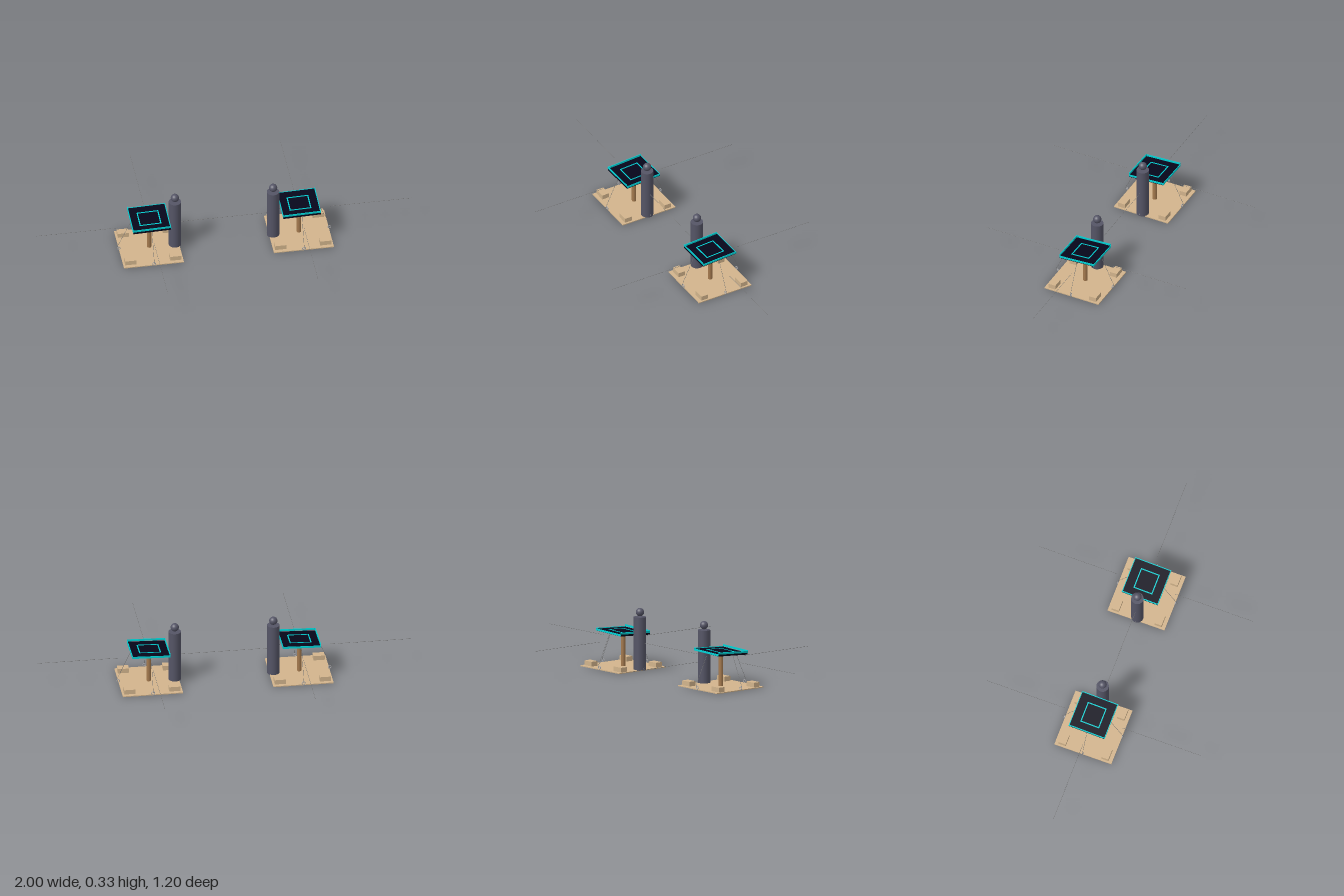
import * as THREE from 'three';

const mat = (name, color) => {
  const m = new THREE.MeshStandardMaterial({ color });
  m.name = name;
  return m;
};

export function createModel() {
  const sand = mat('sand', 0xd2b48c);
  const wood = mat('wood', 0xa67b4f);
  const navy = mat('navy', 0x06061a);
  const cyan = mat('cyan', 0x00ced1);
  const slate = mat('slate', 0x555566);
  const silver = mat('silver', 0xa8a8ac);
  const wire = mat('wire', 0x777777);

  const add = (parent, name, geometry, material, x = 0, y = 0, z = 0) => {
    const mesh = new THREE.Mesh(geometry, material);
    mesh.name = name;
    mesh.position.set(x, y, z);
    parent.add(mesh);
    return mesh;
  };
  const box = (w, h, d) => new THREE.BoxGeometry(w, h, d);

  // Thin round rod between two points
  const rod = (parent, name, a, b, r, material) => {
    const from = new THREE.Vector3(...a), to = new THREE.Vector3(...b);
    const dir = to.clone().sub(from);
    const mesh = add(parent, name, new THREE.CylinderGeometry(r, r, dir.length(), 6), material);
    mesh.position.copy(from).add(to).multiplyScalar(0.5);
    mesh.quaternion.setFromUnitVectors(new THREE.Vector3(0, 1, 0), dir.normalize());
  };

  // Tilted slab with an inlaid square; the rims share its tilt but sit at one height,
  // so they stand proud of the two lower edges
  const tiltX = 0.06, tiltZ = 0.03;
  const makePanel = () => {
    const panel = new THREE.Group();
    panel.name = 'panel';

    const slab = new THREE.Group();
    slab.name = 'slab';
    slab.position.y = 0.188;
    slab.rotation.set(tiltX, 0, tiltZ);
    add(slab, 'panelSlab', box(0.2, 0.01, 0.2), navy);
    add(slab, 'panelBracket', box(0.08, 0.005, 0.08), silver, 0, -0.0075, 0);
    for (const s of [-1, 1]) {
      add(slab, 'inlayAcross', box(0.116, 0.002, 0.006), cyan, 0, 0.0055, s * 0.05);
      add(slab, 'inlayAlong', box(0.006, 0.002, 0.094), cyan, s * 0.055, 0.0055, 0);
    }
    panel.add(slab);

    for (const s of [-1, 1]) {
      const side = add(panel, 'sideRim', box(0.004, 0.01, 0.2), cyan, s * 0.1, 0.195, 0);
      const end = add(panel, 'endRim', box(0.2, 0.01, 0.004), cyan, 0, 0.195, s * 0.1);
      side.rotation.set(tiltX, 0, tiltZ);
      end.rotation.set(tiltX, 0, tiltZ);
    }
    return panel;
  };

  // One station; side is the direction of its standing figure
  const makeStation = (x, side) => {
    const station = new THREE.Group();
    station.name = 'station';
    station.position.x = x;

    add(station, 'basePlate', box(0.32, 0.005, 0.32), sand, 0, 0.0025, 0);
    for (const sx of [-1, 1]) for (const sz of [-1, 1])
      add(station, 'cornerBlock', box(0.06, 0.025, 0.04), sand, sx * 0.12, 0.0175, sz * 0.12);

    add(station, 'post', new THREE.CylinderGeometry(0.012, 0.012, 0.174, 8), wood, 0, 0.092, 0);
    station.add(makePanel());

    // Anchors, guy wires and long lines in the four directions
    for (const [dx, dz] of [[1, 0], [-1, 0], [0, 1], [0, -1]]) {
      add(station, 'anchorRing', new THREE.TorusGeometry(0.008, 0.002, 6, 16), silver, dx * 0.162, 0.014, dz * 0.162);
      rod(station, 'guyWire', [dx * 0.098, 0.178, dz * 0.098], [dx * 0.172, 0.02, dz * 0.172], 0.0009, wire);
      rod(station, 'longLine', [dx * 0.16, 0.15, dz * 0.16], [dx * 0.6, 0.15, dz * 0.6], 0.0008, wire);
    }

    // Standing figure
    const figure = new THREE.Group();
    figure.name = 'figure';
    figure.position.x = side * 0.138;
    add(figure, 'figureBody', new THREE.CylinderGeometry(0.033, 0.033, 0.283, 24), slate, 0, 0.1445, 0);
    add(figure, 'figureHead', new THREE.SphereGeometry(0.022, 24, 16), slate, 0, 0.311, 0);
    station.add(figure);
    return station;
  };

  const model = new THREE.Group();
  model.name = 'twinStations';
  model.add(makeStation(-0.4, 1), makeStation(0.4, -1));
  return model;
}
